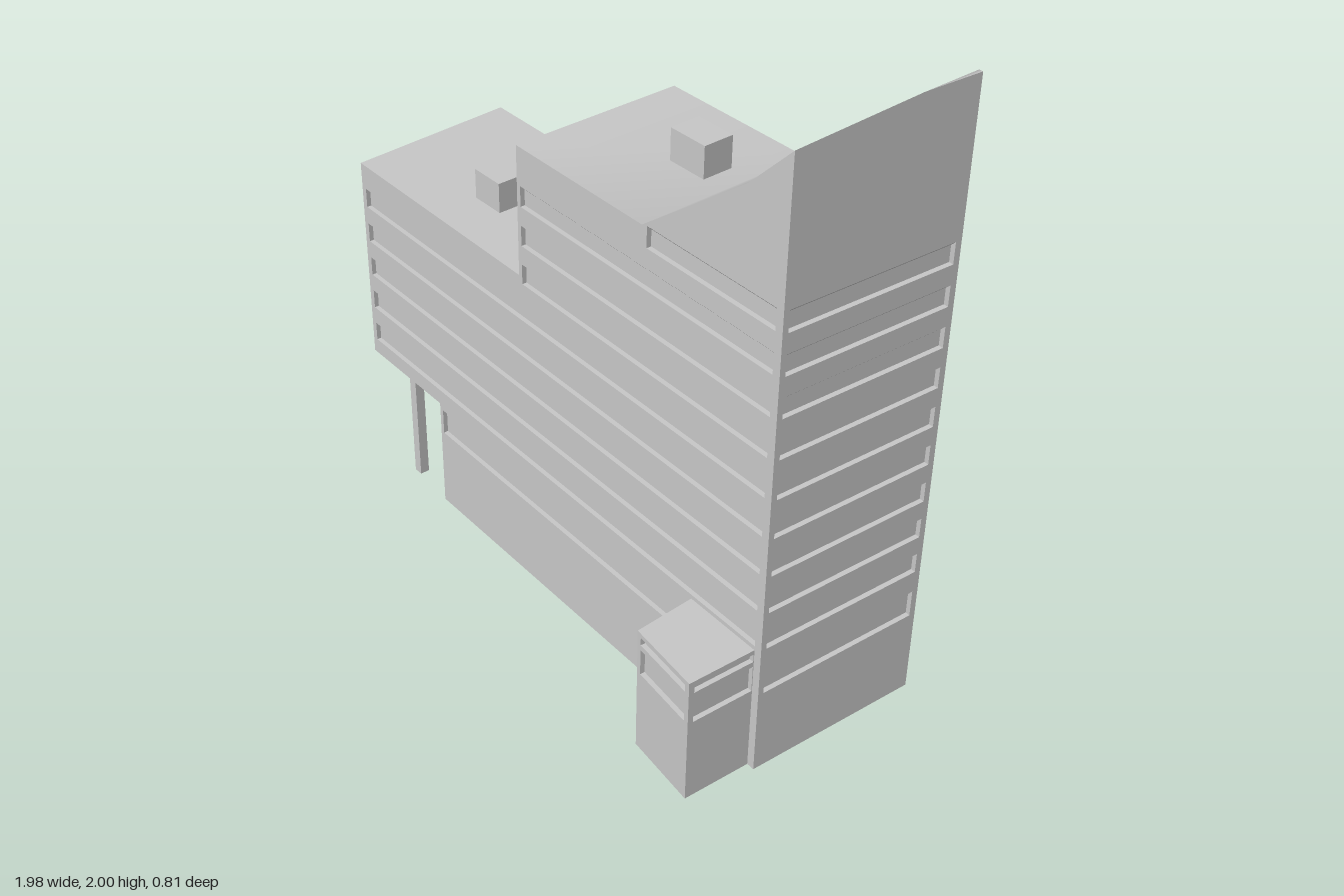
import * as THREE from 'three';
import { mergeGeometries } from 'three/addons/utils/BufferGeometryUtils.js';

const concrete = new THREE.MeshStandardMaterial({ color: 0xc8c8c8 });
concrete.name = 'concrete';

// Plan corners [x, z]
const BACK_R = [-0.99, -0.405], BACK_L = [0.985, -0.39];
const FRONT_L = [0.945, 0.185], FRONT_R = [-0.96, 0.165];
const STEP_X = -0.12, BASE_X = -0.575;
const LOW = 1.11, HIGH = 1.53, SOFFIT = 0.395;
const DEPTH = 0.015, SLOPE = 0.015;

const lineZ = (a, b, x) => a[1] + (b[1] - a[1]) * (x - a[0]) / (b[0] - a[0]);
const backAt = x => [x, lineZ(BACK_R, BACK_L, x)];
const frontAt = x => [x, x <= FRONT_L[0] ? lineZ(FRONT_R, FRONT_L, x) : lineZ(FRONT_L, BACK_L, x)];

// Window recess with a sloping soffit, in wall coordinates
function recess(u0, u1, y0, y1) {
  const o = [[u0, y0, 0], [u1, y0, 0], [u1, y1, 0], [u0, y1, 0]];
  const i = [[u0, y0, -DEPTH], [u1, y0, -DEPTH], [u1, y1 - SLOPE, -DEPTH], [u0, y1 - SLOPE, -DEPTH]];
  const pos = [];
  const quad = (a, b, c, d) => pos.push(...a, ...b, ...c, ...a, ...c, ...d);
  quad(...i);
  for (let k = 0; k < 4; k++) {
    const n = (k + 1) % 4;
    quad(o[k], o[n], i[n], i[k]);
  }
  const g = new THREE.BufferGeometry();
  g.setAttribute('position', new THREE.Float32BufferAttribute(pos, 3));
  g.computeVertexNormals();
  return g;
}

// Wall from a to b (left to right seen from outside). The outline and windows
// are given along one world axis (0 = x, 1 = z) and height.
function wall(name, a, b, axis, outline, windows = []) {
  const len = Math.hypot(b[0] - a[0], b[1] - a[1]);
  const u = s => (s - a[axis]) / (b[axis] - a[axis]) * len;
  const shape = new THREE.Shape(outline.map(([s, y]) => new THREE.Vector2(u(s), y)));
  const parts = [];
  for (const [s0, s1, y0, y1] of windows) {
    const l = Math.min(u(s0), u(s1)), r = Math.max(u(s0), u(s1));
    shape.holes.push(new THREE.Path([[l, y0], [l, y1], [r, y1], [r, y0]].map(p => new THREE.Vector2(...p))));
    parts.push(recess(l, r, y0, y1));
  }
  const face = new THREE.ShapeGeometry(shape).toNonIndexed();
  face.deleteAttribute('uv');
  const g = mergeGeometries([face, ...parts]);
  const dir = new THREE.Vector3(b[0] - a[0], 0, b[1] - a[1]).normalize();
  const up = new THREE.Vector3(0, 1, 0);
  const m = new THREE.Matrix4().makeBasis(dir, up, dir.clone().cross(up));
  m.setPosition(a[0], 0, a[1]);
  g.applyMatrix4(m);
  const mesh = new THREE.Mesh(g, concrete);
  mesh.name = name;
  return mesh;
}

// Strip between the front and back edges through [x, y] stations
function deck(name, stations, facesDown = false) {
  const pos = [], idx = [];
  stations.forEach(([x, y], k) => {
    const f = frontAt(x), b = backAt(x);
    pos.push(f[0], y, f[1], b[0], y, b[1]);
    if (!k) return;
    const i = 2 * k - 2;
    if (facesDown) idx.push(i, i + 3, i + 2, i, i + 1, i + 3);
    else idx.push(i, i + 2, i + 3, i, i + 3, i + 1);
  });
  const g = new THREE.BufferGeometry();
  g.setAttribute('position', new THREE.Float32BufferAttribute(pos, 3));
  g.setIndex(idx);
  g.computeVertexNormals();
  const mesh = new THREE.Mesh(g, concrete);
  mesh.name = name;
  return mesh;
}

// Flat polygon or slanted end from a plan outline
function slab(name, pts, y) {
  const g = new THREE.ShapeGeometry(new THREE.Shape(pts.map(([x, z]) => new THREE.Vector2(x, -z))));
  g.rotateX(-Math.PI / 2).translate(0, y, 0);
  const mesh = new THREE.Mesh(g, concrete);
  mesh.name = name;
  return mesh;
}

function box(name, x0, x1, y0, y1, z0, z1) {
  const mesh = new THREE.Mesh(new THREE.BoxGeometry(x1 - x0, y1 - y0, z1 - z0), concrete);
  mesh.position.set((x0 + x1) / 2, (y0 + y1) / 2, (z0 + z1) / 2);
  mesh.name = name;
  return mesh;
}

const rect = (s0, s1, y0, y1) => [[s0, y0], [s1, y0], [s1, y1], [s0, y1]];
const rowTop = k => 0.515 + k * 0.1275;
const row = (s0, s1, k) => [s0, s1, rowTop(k) - 0.066, rowTop(k)];

// Window bands of a long facade
function longWindows(left, right, groundEnd) {
  const list = [[BASE_X + 0.015, groundEnd, 0.285, 0.375]];
  for (let k = 0; k < 9; k++) list.push(row(k < 5 ? left : k < 8 ? STEP_X + 0.015 : 0.44, right, k));
  return list;
}

// Long facade outline from the raised base up to the sweeping roof
const longOutline = (left, top) => [[left, SOFFIT], [BASE_X, SOFFIT], [BASE_X, 0],
  [top[top.length - 1][0], 0], ...[...top].reverse(), [STEP_X, HIGH], [STEP_X, LOW], [left, LOW]];

export function createModel() {
  const model = new THREE.Group();
  model.name = 'officeBuilding';

  // Roof sweep
  const sweep = [[0.42, HIGH], [0.8, 1.82], [0.945, 1.967], [0.972, 2], [0.985, 2]];

  // Facades
  model.add(wall('frontFacade', FRONT_R, FRONT_L, 0,
    longOutline(FRONT_R[0], sweep.slice(0, 3)), longWindows(-0.94, 0.92, 0.65)));
  model.add(wall('backFacade', BACK_L, BACK_R, 0,
    longOutline(BACK_R[0], sweep), longWindows(-0.97, 0.965, 0.965)));
  const endRows = (z0, z1, n) => Array.from({ length: n }, (_, k) => row(z0, z1, k));
  model.add(wall('leftEndFacade', FRONT_L, BACK_L, 1,
    [[0.185, 0], [-0.39, 0], [-0.39, 2], [-0.203, 2], [0.185, 1.967]],
    [[0.167, -0.37, 0.285, 0.375], ...endRows(0.167, -0.37, 9)]));
  model.add(wall('rightEndFacade', BACK_R, FRONT_R, 1,
    rect(-0.405, 0.165, SOFFIT, LOW), endRows(-0.385, 0.147, 5)));

  // Plain cross walls at the roof step and the base
  for (const [name, x, y0, y1] of [['stepWall', STEP_X, LOW, HIGH], ['baseEndWall', BASE_X, 0, SOFFIT]]) {
    const a = backAt(x), b = frontAt(x);
    model.add(wall(name, a, b, 1, rect(a[1], b[1], y0, y1)));
  }

  // Roofs and undersides
  model.add(deck('sweepingRoof', [[STEP_X, HIGH], ...sweep]));
  model.add(slab('lowerRoof', [FRONT_R, frontAt(STEP_X), backAt(STEP_X), BACK_R], LOW));
  const under = deck('overhangSoffit', [[-0.96, SOFFIT], [BASE_X, SOFFIT]], true);
  const p = under.geometry.attributes.position;
  p.setXYZ(1, BACK_R[0], SOFFIT, BACK_R[1]);
  model.add(under);
  model.add(deck('baseUnderside', [[BASE_X, 0], [0.945, 0], [0.985, 0]], true));

  // Entrance annex
  const annex = new THREE.Group();
  annex.name = 'entranceAnnex';
  const q = [[0.66, 0.18], [0.665, 0.38], [0.905, 0.405], [0.92, 0.184]];
  const bands = (s0, s1) => [[s0, s1, 0.285, 0.375], [s0, s1, 0.393, 0.42]];
  annex.add(wall('annexRightWall', q[0], q[1], 1, rect(0.18, 0.38, 0, 0.435)));
  annex.add(wall('annexFront', q[1], q[2], 0, rect(0.665, 0.905, 0, 0.435), bands(0.68, 0.887)));
  annex.add(wall('annexLeftWall', q[2], q[3], 1, rect(0.405, 0.184, 0, 0.435), bands(0.387, 0.187)));
  annex.add(slab('annexRoof', q, 0.435));
  const annexBase = slab('annexUnderside', q.map(([x, z]) => [x, -z]), 0);
  annexBase.geometry.rotateX(Math.PI);
  annex.add(annexBase);
  model.add(annex);

  // Support columns
  for (const [x, z] of [[-0.752, 0.14], [-0.784, -0.378]])
    model.add(box('supportColumn', x - 0.016, x + 0.016, 0, SOFFIT, z - 0.016, z + 0.016));

  // Rooftop plant rooms
  model.add(box('lowerPlantRoom', -0.555, -0.435, LOW, 1.21, -0.08, 0.01));
  model.add(box('upperPlantRoom', 0.21, 0.345, HIGH, 1.63, -0.197, -0.097));
  return model;
}
